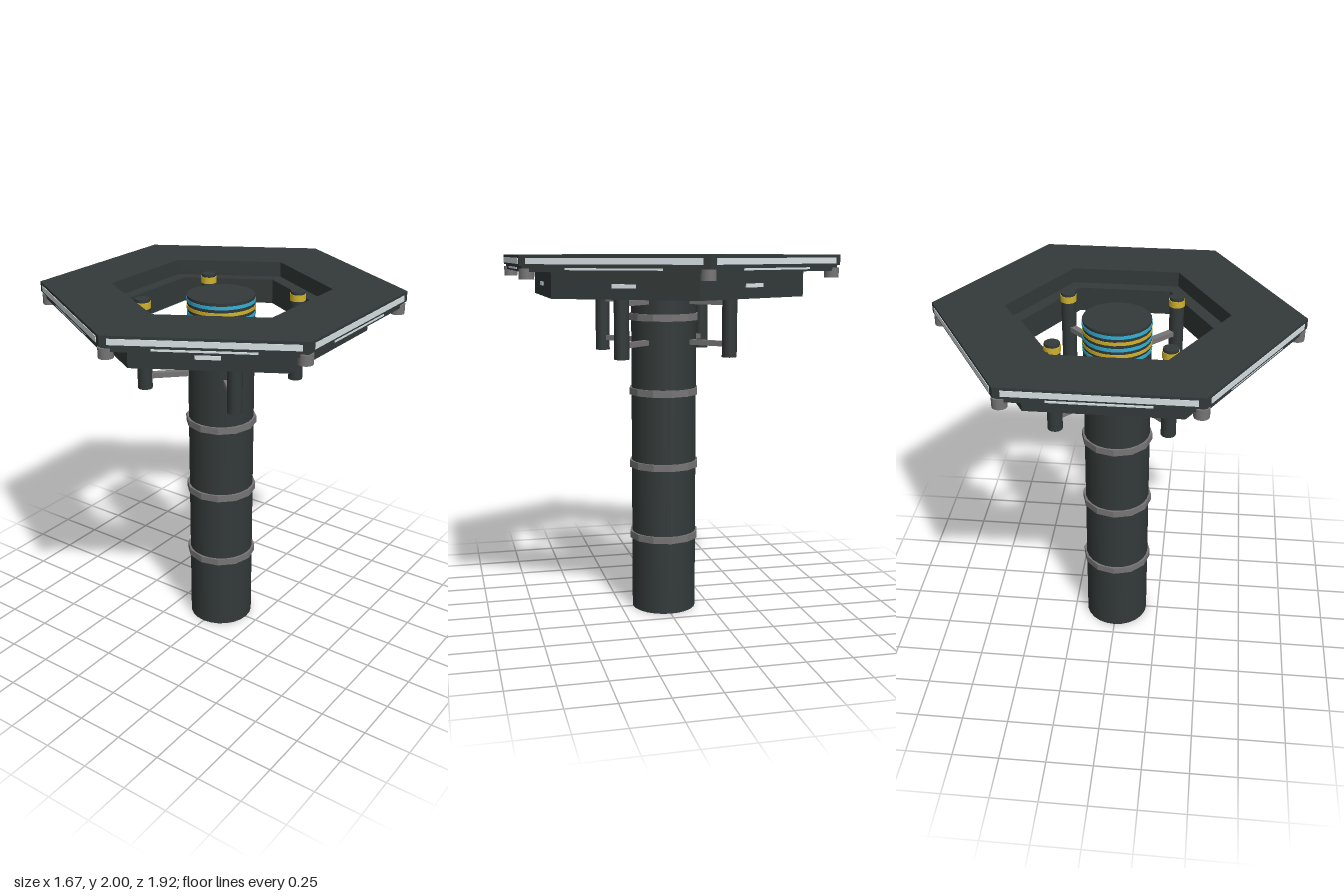
import * as THREE from 'three';

const mat = (name, color, flat = false) => {
  const m = new THREE.MeshStandardMaterial({ color, flatShading: flat });
  m.name = name;
  return m;
};

export function createModel() {
  const hull = mat('dark hull', 0x333a39);
  const grey = mat('grey metal', 0x777575);
  const lamp = mat('pale light', 0xdde6ea);
  const blue = mat('blue glow', 0x33b2d8);
  const yellow = mat('yellow marking', 0xd2b42c);

  const model = new THREE.Group();
  model.name = 'hexPlatform';

  const add = (name, geo, material, x = 0, y = 0, z = 0, parent = model) => {
    const m = new THREE.Mesh(geo, material);
    m.name = name;
    m.position.set(x, y, z);
    parent.add(m);
    return m;
  };
  const cyl = (r, y0, y1, sides) =>
    new THREE.CylinderGeometry(r, r, y1 - y0, sides).translate(0, (y0 + y1) / 2, 0);

  // hexagonal ring with corners on the z axis (counter-clockwise outline)
  const hexPoints = (r) => Array.from({ length: 6 }, (_, i) => {
    const a = i * Math.PI / 3;
    return new THREE.Vector2(-r * Math.sin(a), r * Math.cos(a));
  });
  const hexRing = (outer, inner, y0, y1) => {
    const shape = new THREE.Shape(hexPoints(outer));
    shape.holes.push(new THREE.Path(hexPoints(inner).reverse()));
    return new THREE.ExtrudeGeometry(shape, { depth: y1 - y0, bevelEnabled: false })
      .rotateX(-Math.PI / 2).translate(0, y0, 0);
  };

  // deck: top slab, inset lip and lower ring
  add('deckSlab', hexRing(0.962, 0.58, 1.946, 2), hull);
  add('deckLip', hexRing(0.947, 0.58, 1.918, 1.946), hull);
  add('lowerRing', hexRing(0.77, 0.5, 1.783, 1.918), hull);

  // lights on each side, feet under each corner
  const c30 = Math.cos(Math.PI / 6);
  for (let i = 0; i < 6; i++) {
    const a = i * Math.PI / 3;
    const side = new THREE.Group();
    side.name = 'deckSide';
    side.rotation.y = a;
    model.add(side);
    add('edgeLight', new THREE.BoxGeometry(0.008, 0.03, 0.89), lamp, 0.962 * c30 - 0.001, 1.971, 0, side);
    add('lipLight', new THREE.BoxGeometry(0.008, 0.01, 0.49), lamp, 0.947 * c30, 1.933, 0, side);
    add('ringLight', new THREE.BoxGeometry(0.008, 0.02, 0.126), lamp, 0.77 * c30 + 0.002, 1.849, 0, side);
    add('cornerFoot', cyl(0.038, 1.882, 1.935, 12), grey, 0.918 * Math.sin(a), 0, 0.918 * Math.cos(a));
  }

  // central column with collars and coloured bands
  add('column', cyl(0.18, 0, 1.96, 24), hull);
  const collarMat = mat('grey metal faceted', 0x777575, true);
  for (const y of [0.43, 0.841, 1.253, 1.665]) {
    add('collar', cyl(0.195, y - 0.019, y + 0.019, 12), collarMat);
  }
  [1.935, 1.9, 1.865, 1.83, 1.798].forEach((y, i) => {
    add('columnBand', cyl(0.183, y - 0.009, y + 0.009, 24), i % 2 ? yellow : blue);
  });

  // four outer posts joined to the column by arms
  for (let i = 0; i < 4; i++) {
    const support = new THREE.Group();
    support.name = 'support';
    support.rotation.y = Math.PI / 4 + i * Math.PI / 2;
    model.add(support);
    add('post', cyl(0.04, 1.46, 1.955, 12), hull, 0.414, 0, 0, support);
    add('postBand', cyl(0.044, 1.905, 1.94, 12), yellow, 0.414, 0, 0, support);
    for (const y of [1.53, 1.75]) {
      add('arm', new THREE.BoxGeometry(0.225, 0.028, 0.036), grey, 0.2825, y, 0, support);
    }
  }
  return model;
}
